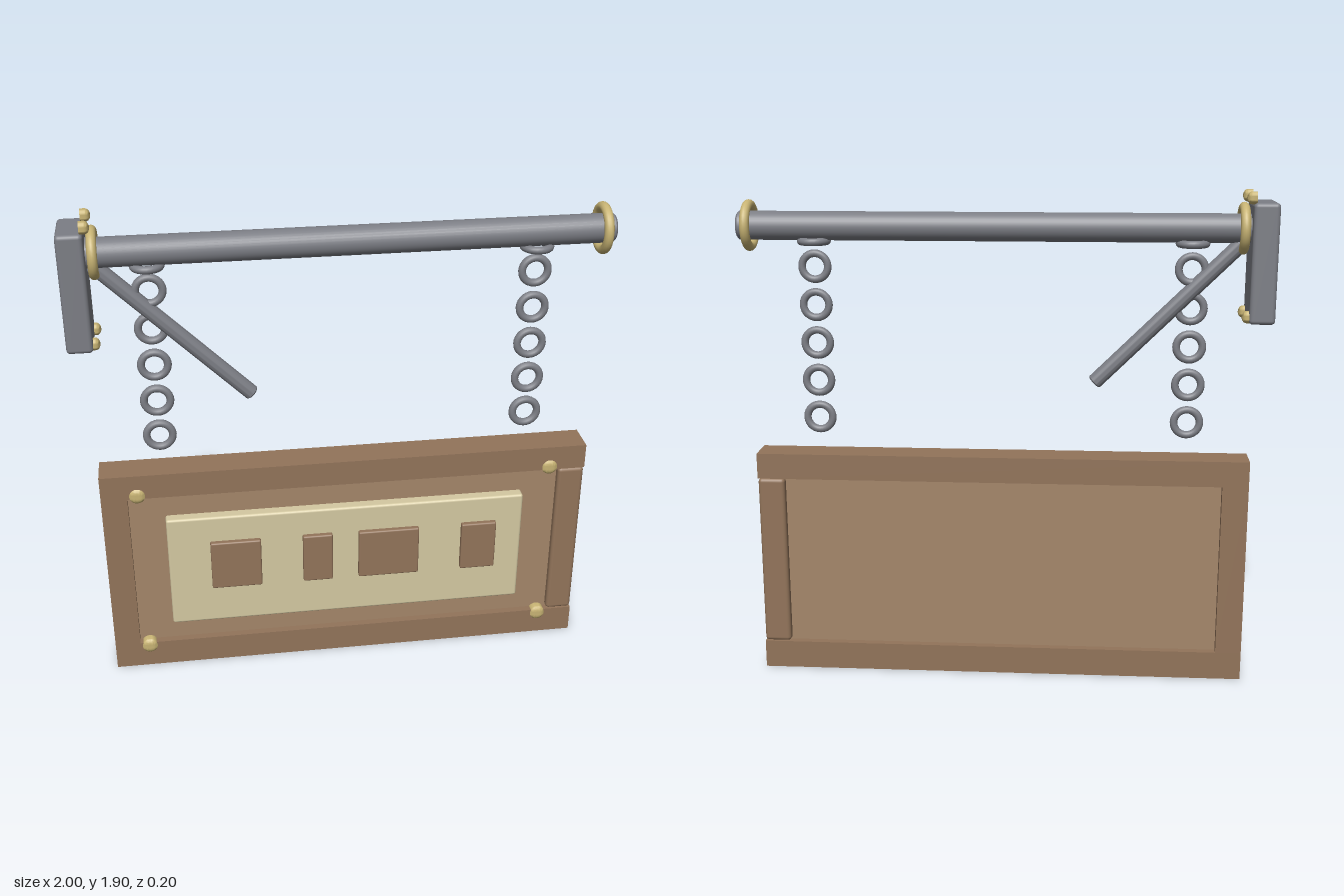
import * as THREE from 'three';
import { RoundedBoxGeometry } from 'three/addons/geometries/RoundedBoxGeometry.js';
import { toCreasedNormals } from 'three/addons/utils/BufferGeometryUtils.js';

const paint = (color) => new THREE.MeshStandardMaterial({ color });

export function createModel() {
  const model = new THREE.Group();
  const iron = paint(0x7c7e85), brass = paint(0xc8b474);
  const wood = paint(0x92745a), panelWood = paint(0xa4866a), cream = paint(0xd4c9a2);

  function add(name, geometry, material, x = 0, y = 0, z = 0) {
    const mesh = new THREE.Mesh(geometry, material);
    mesh.name = name;
    mesh.position.set(x, y, z);
    model.add(mesh);
    return mesh;
  }

  // Box given by its limits, with optional rounded edges
  function box(name, material, [x0, x1], [y0, y1], [z0, z1], r = 0) {
    const size = [x1 - x0, y1 - y0, z1 - z0];
    const geometry = r ? new RoundedBoxGeometry(...size, 3, r) : new THREE.BoxGeometry(...size);
    return add(name, geometry, material, (x0 + x1) / 2, (y0 + y1) / 2, (z0 + z1) / 2);
  }

  // Round bar with chamfered ends between two points
  function bar(name, a, b, r, bevel) {
    const h = a.distanceTo(b) / 2;
    const profile = [[0, -h], [r - bevel, -h], [r, bevel - h], [r, h - bevel], [r - bevel, h], [0, h]];
    const lathe = new THREE.LatheGeometry(profile.map(([x, y]) => new THREE.Vector2(x, y)), 32);
    const mid = a.clone().add(b).multiplyScalar(0.5);
    const mesh = add(name, toCreasedNormals(lathe, 0.6), iron, mid.x, mid.y, mid.z);
    mesh.quaternion.setFromUnitVectors(new THREE.Vector3(0, 1, 0), b.clone().sub(a).normalize());
  }

  // Domed stud pointing along +y, standing on its base
  function studGeometry(r, shank, dome) {
    const points = [new THREE.Vector2(0, 0), new THREE.Vector2(r, 0)];
    for (let i = 0; i <= 6; i++) {
      const t = (i / 6) * Math.PI / 2;
      points.push(new THREE.Vector2(i === 6 ? 0 : r * Math.cos(t), shank + dome * Math.sin(t)));
    }
    return toCreasedNormals(new THREE.LatheGeometry(points, 20), 0.8);
  }

  // Wall bracket
  box('wallPlate', iron, [-1, -0.905], [1.42, 1.86], [-0.098, 0.098], 0.015);
  const bolt = studGeometry(0.023, 0.018, 0.018);
  for (const y of [1.445, 1.877])
    for (const z of [-0.066, 0.066])
      add('plateBolt', bolt, brass, -0.916, y, z).rotation.z = -Math.PI / 2;

  // Pole, collars and diagonal brace
  bar('pole', new THREE.Vector3(-0.92, 1.762, 0), new THREE.Vector3(1, 1.762, 0), 0.054, 0.008);
  const collar = new THREE.TorusGeometry(0.078, 0.018, 14, 40);
  for (const x of [-0.88, 0.957])
    add('collar', collar, brass, x, 1.762, 0).rotation.y = Math.PI / 2;
  bar('brace', new THREE.Vector3(-0.89, 1.72, 0), new THREE.Vector3(-0.343, 1.178, 0), 0.029, 0.005);

  // Two chains, each with a flat ring under the pole
  const link = new THREE.TorusGeometry(0.049, 0.0145, 12, 28);
  for (const x of [-0.698, 0.714]) {
    add('chainMount', link, iron, x, 1.705, 0).rotation.x = Math.PI / 2;
    for (let i = 0; i < 5; i++) add('chainLink', link, iron, x, 1.61 - i * 0.1457, 0);
  }

  // Board frame
  const depth = [-0.064, 0.065];
  box('topRail', wood, [-0.938, 0.957], [0.79, 0.89], depth);
  box('bottomRail', wood, [-0.938, 0.957], [0, 0.11], depth);
  box('rightStile', wood, [-0.938, -0.838], [0.11, 0.79], depth);
  box('leftStile', wood, [0.853, 0.957], [0.111, 0.789], depth, 0.015);

  // Recessed panel, name plate and raised blocks
  box('panel', panelWood, [-0.842, 0.86], [0.105, 0.795], [-0.035, 0.036]);
  box('namePlate', cream, [-0.7, 0.713], [0.205, 0.69], [0.02, 0.078], 0.01);
  for (const span of [[-0.535, -0.337], [-0.172, -0.054], [0.05, 0.292], [0.464, 0.605]])
    box('raisedBlock', wood, span, [0.372, 0.582], [0.07, 0.098], 0.007);

  // Corner studs
  const stud = studGeometry(0.031, 0.031, 0.011);
  for (const x of [-0.8, 0.815])
    for (const y of [0.095, 0.802])
      add('cornerStud', stud, brass, x, y, 0.032).rotation.x = Math.PI / 2;

  return model;
}
